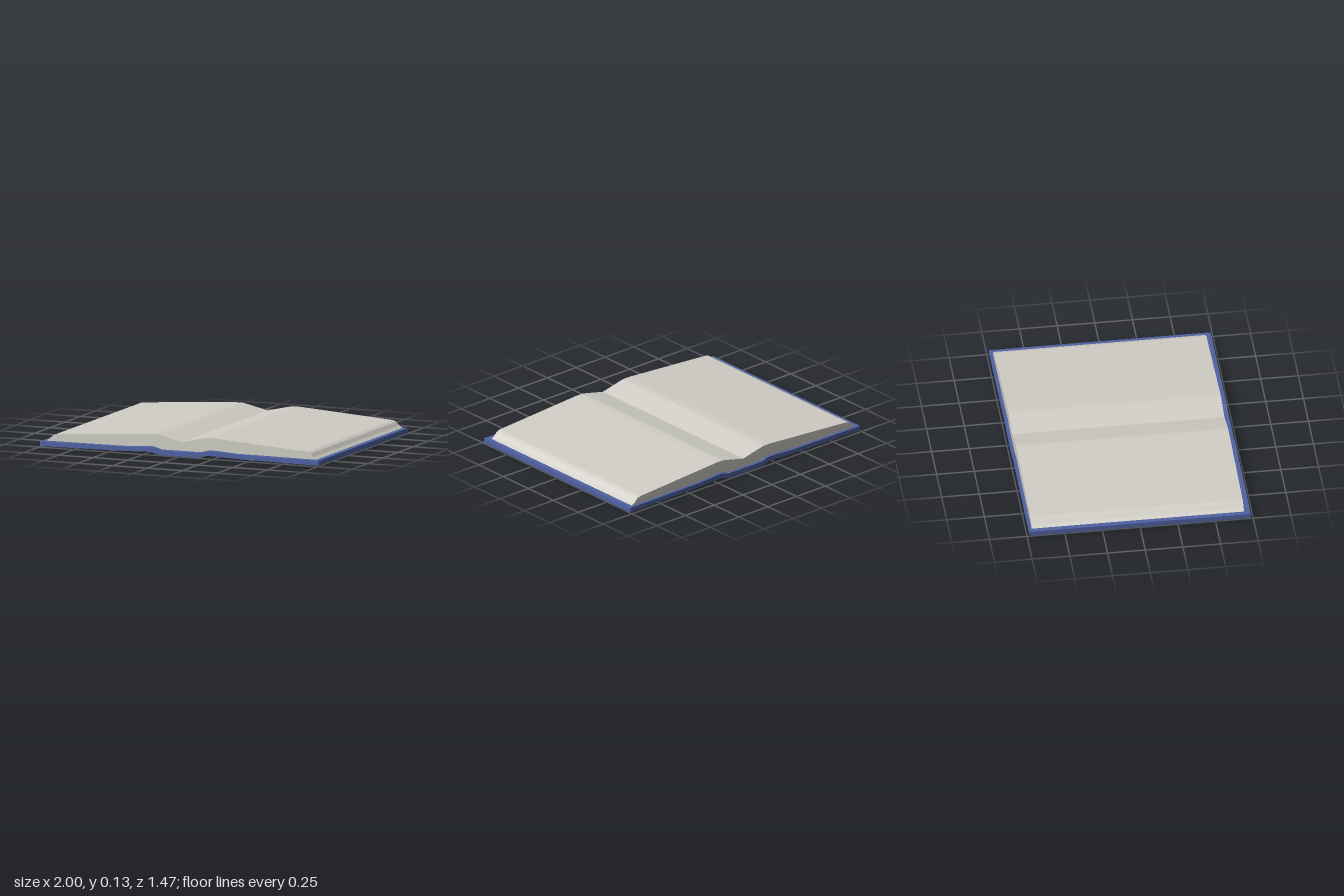
import * as THREE from 'three';

// Mirrors a right-half profile (listed from the centre outwards) to run from -x to +x
const mirror = (half) => [
  ...half.filter(([x]) => x > 0).reverse().map(([x, y]) => [-x, y]),
  ...half,
];

// Solid strip between an upper and a lower profile, running from z0 to z1
function slab(name, top, bottom, z0, z1, color) {
  const outline = [...mirror(bottom), ...mirror(top).reverse()];
  const shape = new THREE.Shape(outline.map(([x, y]) => new THREE.Vector2(x, y)));
  const geometry = new THREE.ExtrudeGeometry(shape, { depth: z1 - z0, bevelEnabled: false });
  geometry.translate(0, 0, z0);
  const material = new THREE.MeshStandardMaterial({ color, flatShading: true });
  const mesh = new THREE.Mesh(geometry, material);
  mesh.name = name;
  return mesh;
}

export function createModel() {
  const book = new THREE.Group();
  book.name = 'openBook';

  // Cover: flat spine, raised hinges and boards sloping gently outwards
  const coverTop = [[0, 0.032], [0.14, 0.032], [0.2, 0.049], [0.25, 0.048], [0.4, 0.039], [1, 0.036]];
  const coverBottom = [[0, 0], [0.145, 0], [0.2, 0.017], [0.25, 0.017], [0.4, 0.011], [1, 0.004]];
  book.add(slab('cover', coverTop, coverBottom, -0.735, 0.735, 0x4f62a3));

  // Page block: valley at the centre, swell beside it and rounded outer edges
  const pageTop = [[0, 0.09], [0.14, 0.122], [0.18, 0.13], [0.23, 0.13], [0.9, 0.085], [0.925, 0.075], [0.947, 0.052], [0.97, 0.038]];
  const pageBottom = [...coverTop.slice(0, -1), [0.965, 0.0362]];
  book.add(slab('pages', pageTop, pageBottom, -0.715, 0.693, 0xd0cec6));

  return book;
}
